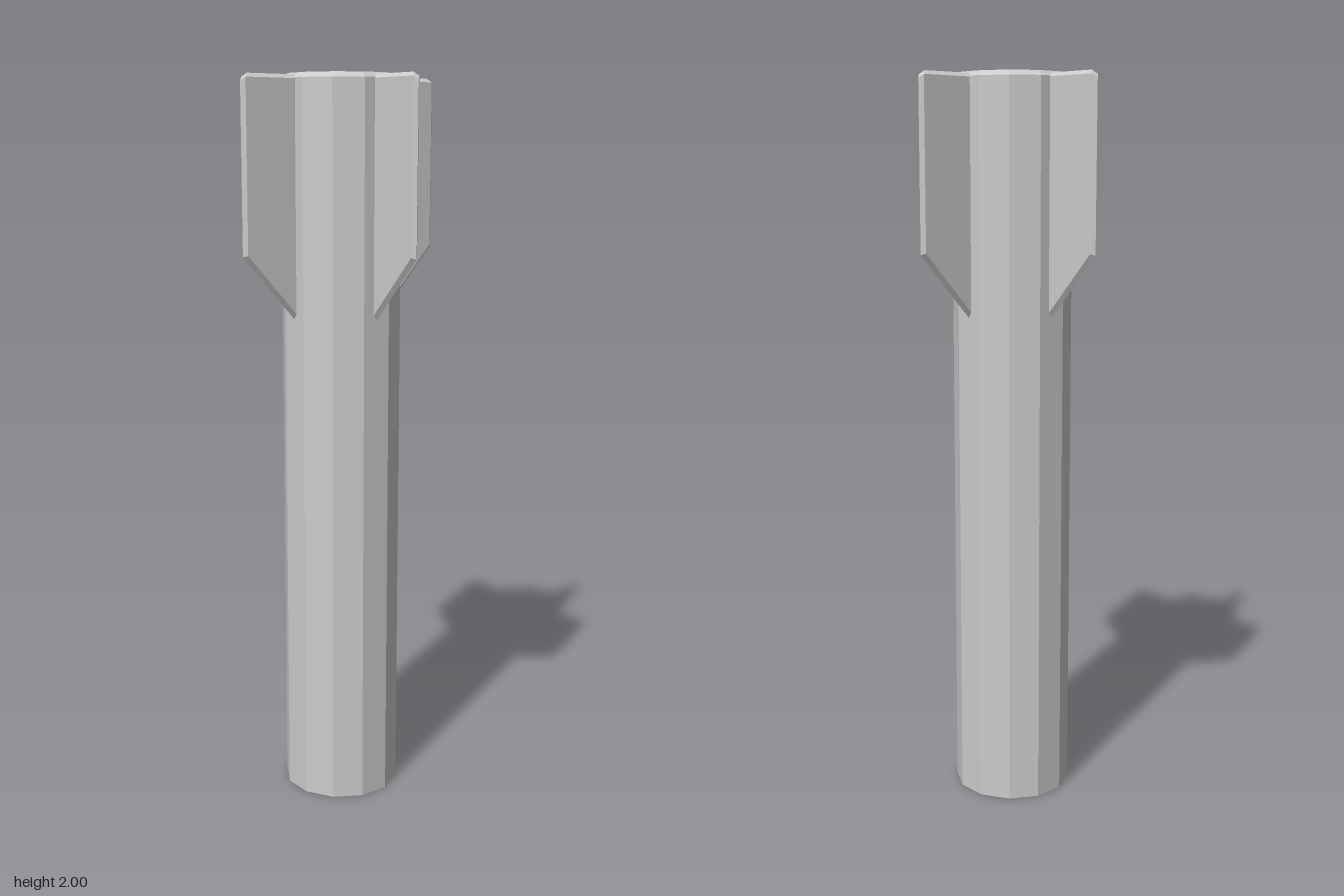
import * as THREE from 'three';
import { ConvexGeometry } from 'three/addons/geometries/ConvexGeometry.js';

const material = new THREE.MeshStandardMaterial({ color: 0xcccccc, flatShading: true });

function createBody() {
  // Twelve-sided tube with a small chamfer round the top
  const profile = [[0, 0], [0.162, 0], [0.162, 1.987], [0.148, 2], [0, 2]]
    .map(([r, y]) => new THREE.Vector2(r, y));
  const body = new THREE.Mesh(new THREE.LatheGeometry(profile, 12), material);
  body.name = 'body';
  return body;
}

function createFinGeometry() {
  const halfThickness = 0.01;
  // Outline of the flat sides, as radius and height
  const side = [[0.14, 1.985], [0.307, 1.985], [0.307, 1.539], [0.14, 1.359]];
  // Outline of the sharp ridge that runs round the edge
  const ridge = [[0.14, 1.995], [0.297, 1.995], [0.317, 1.975], [0.317, 1.535], [0.14, 1.344]];
  const points = ridge.map(([r, y]) => new THREE.Vector3(r, y, 0));
  for (const z of [-halfThickness, halfThickness]) {
    for (const [r, y] of side) points.push(new THREE.Vector3(r, y, z));
  }
  return new ConvexGeometry(points);
}

export function createModel() {
  const model = new THREE.Group();
  model.name = 'finnedRocket';
  model.add(createBody());

  // Four fins on the diagonals
  const finGeometry = createFinGeometry();
  const names = ['finBackLeft', 'finBackRight', 'finFrontRight', 'finFrontLeft'];
  names.forEach((name, i) => {
    const fin = new THREE.Mesh(finGeometry, material);
    fin.name = name;
    fin.rotation.y = Math.PI / 4 + (i * Math.PI) / 2;
    model.add(fin);
  });
  return model;
}
